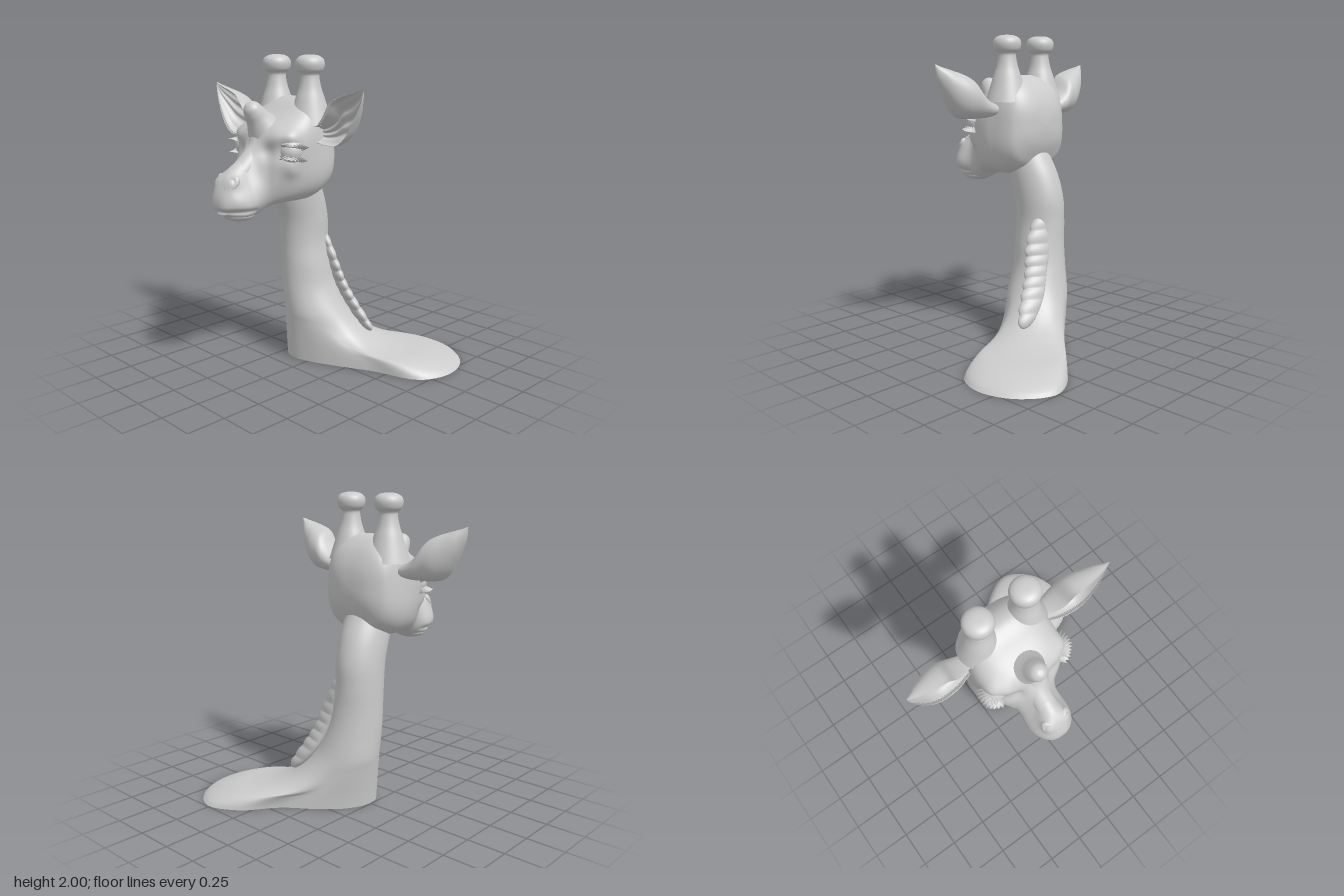
import * as THREE from 'three';

const CX = -0.115; // symmetry plane of the head
const V = (x, y, z) => new THREE.Vector3(x, y, z);
const mat = new THREE.MeshStandardMaterial({ color: 0xcccccc, side: THREE.DoubleSide });
const lerp = THREE.MathUtils.lerp;
const smooth = (x, a, b) => THREE.MathUtils.smoothstep(x, a, b);
const curve = pts => new THREE.CatmullRomCurve3(pts.map(p => V(...p)));

function add(parent, name, geo) {
  const m = new THREE.Mesh(geo, mat);
  m.name = name;
  parent.add(m);
  return m;
}

// Smooth skin through closed rings that all have the same point count
function loft(rings, steps, flip = false, rule = null) {
  const m = rings[0].length, pos = [], idx = [];
  const columns = rings[0].map((_, j) => new THREE.CatmullRomCurve3(rings.map(r => r[j])));
  for (let i = 0; i <= steps; i++) {
    for (let j = 0; j < m; j++) {
      const p = columns[j].getPoint(i / steps);
      if (rule) rule(p);
      pos.push(p.x, p.y, p.z);
      if (i === steps) continue;
      const a = i * m + j, b = i * m + (j + 1) % m, c = a + m, d = b + m;
      if (flip) idx.push(a, d, b, a, c, d);
      else idx.push(a, b, d, a, d, c);
    }
  }
  const g = new THREE.BufferGeometry();
  g.setAttribute('position', new THREE.Float32BufferAttribute(pos, 3));
  g.setIndex(idx);
  g.computeVertexNormals();
  return g;
}

function ringOf(m, fn) {
  return Array.from({ length: m }, (_, j) => fn(j / m * Math.PI * 2, j / m));
}

// Neck flowing down into the spread base
function neckGeometry() {
  const M = 96;
  const foot = new THREE.CatmullRomCurve3([
    [-0.09, 0.135], [0.04, 0.1], [0.2, 0.03], [0.42, -0.075], [0.7, -0.18], [0.785, -0.38],
    [0.72, -0.6], [0.52, -0.74], [0.31, -0.65], [0.14, -0.44], [-0.06, -0.29], [-0.17, -0.18],
    [-0.23, -0.07], [-0.24, 0.03], [-0.22, 0.09], [-0.165, 0.125],
  ].map(([x, z]) => V(x, 0, z)), true);
  // the last value swells the ring towards the tail
  const ellipse = ([y, cx, cz, a, b, swell = 0]) => ringOf(M, t => {
    const k = 1 + swell * Math.max(0, Math.cos(t - Math.PI * 0.72)) ** 2;
    return V(cx + k * a * Math.sin(t), y, cz + k * b * Math.cos(t));
  });
  const stem = [
    [0.33, -0.087, -0.032, 0.2, 0.196, 0.16], [0.5, -0.125, -0.012, 0.168, 0.177, 0.1],
    [0.65, -0.137, -0.003, 0.157, 0.168, 0.05], [0.8, -0.147, 0, 0.148, 0.167],
    [0.95, -0.145, 0.012, 0.148, 0.172], [1.1, -0.138, 0.058, 0.147, 0.177],
    [1.25, -0.125, 0.12, 0.14, 0.165],
  ].map(ellipse);
  // the wide tail stays low and flat, the front wall rises evenly
  const base = [[0, 0], [0.04, 0.025], [0.13, 0.055], [0.28, 0.085], [0.48, 0.105], [0.66, 0.137], [0.84, 0.205]]
    .map(([s, y]) => ringOf(M, (t, u) => {
      const p = foot.getPoint(u), top = stem[0][Math.round(u * M)];
      const spread = smooth(Math.hypot(p.x - top.x, p.z - top.z), 0.0, 0.5);
      return p.lerp(top, s).setY(lerp(s * 0.33, y, spread));
    }));
  return loft([...base, ...stem], 84);
}

// Head and muzzle: sections along z as z, bottom, top, lower half width, upper half width
function headGeometry() {
  const rings = [
    [-0.083, 1.43, 1.432, 0.001, 0.001], [-0.079, 1.37, 1.49, 0.07, 0.07], [-0.065, 1.3, 1.56, 0.145, 0.14],
    [-0.035, 1.23, 1.63, 0.205, 0.2], [0.0, 1.17, 1.68, 0.245, 0.235], [0.06, 1.13, 1.73, 0.27, 0.255],
    [0.13, 1.105, 1.748, 0.28, 0.265], [0.2, 1.1, 1.72, 0.28, 0.28], [0.28, 1.1, 1.66, 0.26, 0.285],
    [0.34, 1.095, 1.62, 0.23, 0.28], [0.39, 1.085, 1.59, 0.195, 0.255], [0.43, 1.065, 1.55, 0.165, 0.205],
    [0.46, 1.045, 1.49, 0.145, 0.14], [0.5, 1.03, 1.44, 0.148, 0.1], [0.55, 1.02, 1.395, 0.158, 0.085],
    [0.6, 1.022, 1.36, 0.157, 0.09], [0.65, 1.042, 1.325, 0.142, 0.09], [0.69, 1.06, 1.285, 0.115, 0.085],
    [0.72, 1.07, 1.23, 0.078, 0.068], [0.736, 1.1, 1.18, 0.04, 0.04], [0.74, 1.14, 1.141, 0.001, 0.001],
  ].map(([z, yb, yt, wb, wt]) => ringOf(96, t => {
    const e = 2 / lerp(3, 2.05, smooth(z, 0.3, 0.52));
    const c = Math.cos(t), s = Math.sin(t);
    const v = Math.sign(s) * Math.abs(s) ** e;
    const w = lerp(wb, wt, smooth(v, -0.7, 0.7));
    return V(CX + w * Math.sign(c) * Math.abs(c) ** e, (yb + yt) / 2 + v * (yt - yb) / 2, z);
  }));
  // Soft brows, sockets, cheeks and nostrils: offset from centre, height, depth, radius, push
  const bumps = [
    [0.22, 1.435, 0.39, 0.06, -0.02], [0.24, 1.535, 0.36, 0.055, 0.025], [0.17, 1.53, 0.42, 0.05, 0.018],
    [0.13, 1.43, 0.44, 0.05, -0.025], [0.235, 1.34, 0.35, 0.05, 0.024], [0.065, 1.27, 0.66, 0.045, 0.022],
  ];
  return loft(rings, 110, false, p => {
    const side = Math.sign(p.x - CX), x = Math.abs(p.x - CX);
    for (const [bx, by, bz, r, push] of bumps) {
      const k = push * Math.exp(-((x - bx) ** 2 + (p.y - by) ** 2 + (p.z - bz) ** 2) / (r * r));
      p.x += side * k * 0.7;
      p.z += k * 0.7;
    }
    // mouth groove
    const g = Math.exp(-(((p.y - 1.09) / 0.014) ** 2)) * smooth(p.z, 0.5, 0.56);
    p.x -= (p.x - CX) * 0.12 * g;
    p.z -= 0.02 * g;
  });
}

// Cupped ear: distance from centre, lower edge, upper edge, rim z, cup depth
function earGeometry(s) {
  const rings = [
    [0.22, 1.5, 1.56, 0.18, 0.08], [0.3, 1.48, 1.59, 0.205, 0.13], [0.37, 1.475, 1.645, 0.228, 0.165],
    [0.43, 1.475, 1.73, 0.235, 0.168], [0.49, 1.485, 1.76, 0.238, 0.16], [0.55, 1.53, 1.778, 0.236, 0.13],
    [0.605, 1.615, 1.793, 0.23, 0.09], [0.64, 1.685, 1.803, 0.222, 0.05], [0.662, 1.74, 1.811, 0.215, 0.022],
    [0.673, 1.795, 1.813, 0.211, 0.006],
  ].map(([x, lo, up, z, d]) => ringOf(64, t => {
    const v = Math.cos(t), q = Math.sin(t);
    const cup = d * Math.abs(q) ** 0.7;
    // the inside is shallower and carries a few soft ribs
    const depth = q < 0 ? cup : cup * (0.75 + 0.07 * Math.cos(v * 12));
    return V(CX + s * x, (lo + up) / 2 + v * (up - lo) / 2, z - depth);
  }));
  return loft(rings, 54, s < 0);
}

function makeEye(s) {
  const eye = new THREE.Group();
  eye.name = s > 0 ? 'leftEye' : 'rightEye';
  eye.position.set(CX + s * 0.207, 1.435, 0.333);
  eye.rotation.set(0, s * 0.85, -s * 0.12, 'YXZ');
  const ball = (name, r, from, len) =>
    add(eye, name, new THREE.SphereGeometry(r, 36, 20, 0, Math.PI * 2, from, len));
  ball('eyeball', 0.074, 0, Math.PI);
  ball('upperLid', 0.085, 0, 1.3);
  ball('lowerLid', 0.083, 1.9, Math.PI - 1.9);
  // overlapping flat lashes fanned around each lid
  for (const side of [1, -1]) {
    for (let k = -4; k <= 4; k++) {
      const a = k * 0.22 + s * 0.25;
      const dir = V(Math.sin(a), side * 0.12, Math.cos(a)).normalize();
      const lash = add(eye, 'eyelash', new THREE.ConeGeometry(0.028, 0.05, 10));
      lash.scale.z = 0.25;
      lash.position.set(0, side * 0.028, 0).addScaledVector(dir, 0.092);
      lash.quaternion.setFromUnitVectors(V(0, 1, 0), dir);
    }
  }
  return eye;
}

// Mane: a thick sheet from the nape to a scalloped side edge
function maneGeometry() {
  const nape = curve([[-0.12, 0.86, -0.12], [-0.08, 0.65, -0.145], [-0.02, 0.5, -0.175], [0.05, 0.36, -0.215], [0.18, 0.19, -0.25]]);
  const edge = curve([[0.005, 0.84, -0.055], [0.08, 0.65, -0.08], [0.125, 0.5, -0.115], [0.2, 0.36, -0.155], [0.31, 0.19, -0.215]]);
  const N = 120, rings = [];
  for (let i = 0; i <= N; i++) {
    const t = i / N, a = nape.getPoint(t), b = edge.getPoint(t);
    const lobe = 0.84 + 0.18 * Math.abs(Math.sin(t * Math.PI * 9));
    const end = Math.sqrt(Math.max(0.0004, 1 - Math.abs(2 * t - 1) ** 8));
    const wide = b.clone().sub(a);
    const thick = wide.clone().cross(nape.getTangent(t)).normalize();
    rings.push(ringOf(32, q => {
      const u = Math.cos(q);
      return a.clone().lerp(b, 0.5).addScaledVector(wide, 0.5 * u * end * (u > 0 ? lobe : 1))
        .addScaledVector(thick, 0.034 * Math.sin(q) * end * lobe);
    }));
  }
  return loft(rings, N, true);
}

const lathe = pts => new THREE.LatheGeometry(
  new THREE.SplineCurve(pts.map(p => new THREE.Vector2(...p))).getPoints(48), 40);

export function createModel() {
  const model = new THREE.Group();
  model.name = 'giraffeBust';
  add(model, 'neckAndBase', neckGeometry());
  add(model, 'mane', maneGeometry());

  const head = new THREE.Group();
  head.name = 'head';
  model.add(head);
  add(head, 'skullAndMuzzle', headGeometry());

  // Forehead bump, leaning forward, running down into the nose ridge
  const bump = add(head, 'foreheadBump', lathe([
    [0.15, -0.05], [0.105, 0.03], [0.074, 0.1], [0.062, 0.15], [0.048, 0.19], [0.022, 0.212], [0, 0.215]]));
  bump.position.set(CX, 1.545, 0.355);
  bump.rotation.x = 0.65;
  add(head, 'noseRidge', new THREE.TubeGeometry(
    curve([[CX, 1.56, 0.37], [CX, 1.43, 0.42], [CX, 1.335, 0.515], [CX, 1.255, 0.615]]), 40, 0.07, 28));

  const lip = add(head, 'lowerLip', new THREE.SphereGeometry(1, 40, 24));
  lip.scale.set(0.1, 0.042, 0.1);
  lip.position.set(CX, 1.058, 0.575);

  for (const s of [1, -1]) {
    // Horn with a round knob
    const horn = add(head, s > 0 ? 'leftHorn' : 'rightHorn', lathe([
      [0.14, 1.58], [0.115, 1.66], [0.09, 1.74], [0.07, 1.8], [0.058, 1.86], [0.06, 1.885],
      [0.082, 1.908], [0.091, 1.943], [0.083, 1.973], [0.06, 1.991], [0.03, 1.999], [0, 2]]));
    horn.position.set(CX + s * 0.153, 0, 0.122);

    add(head, s > 0 ? 'leftEar' : 'rightEar', earGeometry(s));
    head.add(makeEye(s));

    const nostril = add(head, 'nostrilRim', new THREE.TorusGeometry(0.028, 0.019, 14, 32));
    nostril.position.set(CX + s * 0.06, 1.258, 0.67);
    nostril.rotation.set(-0.5, s * 0.55, s * -0.35);
    nostril.scale.set(0.85, 1.25, 1);
  }
  return model;
}
